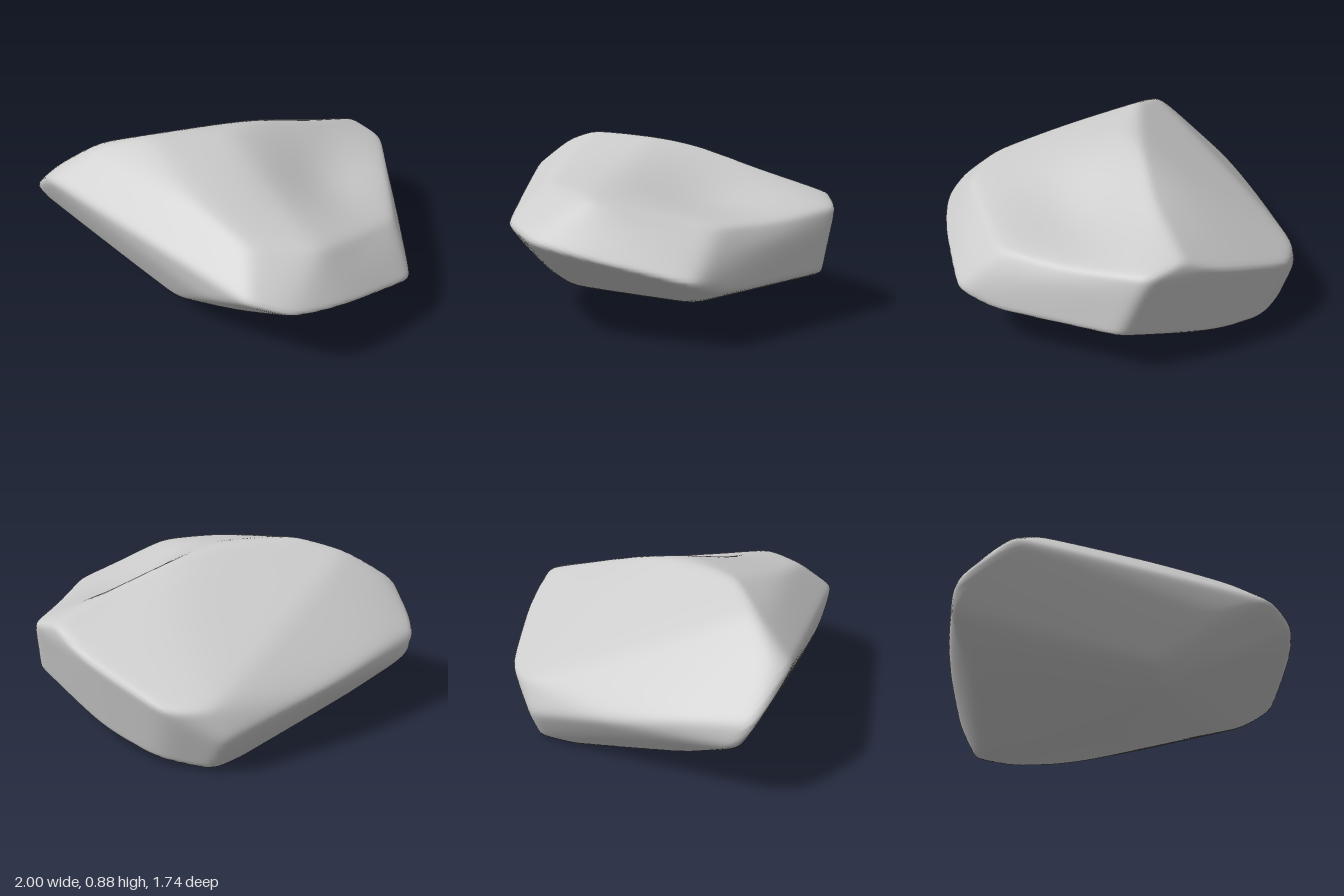
import * as THREE from 'three';
import { mergeVertices } from 'three/addons/utils/BufferGeometryUtils.js';
import { ConvexGeometry } from 'three/addons/geometries/ConvexGeometry.js';

// Corner points of the facets, [x, y, z]
const ridge = [
  [-0.8, 0.69, 0.38], [-0.6, 0.82, 0.32], [-0.36, 0.875, 0.25], [0, 0.855, 0.05],
  [0.1, 0.83, -0.18], [0.27, 0.77, -0.38], [0.46, 0.6, -0.74],
];
const shoulder = [
  [-0.4, 0.78, 0.43], [0, 0.75, 0.55], [0.3, 0.69, 0.66], [0.62, 0.65, 0.54],
  [0.85, 0.54, 0.03], [0.65, 0.55, -0.69],
];
const girdle = [
  [-0.82, 0.65, 0.48], [-0.4, 0.55, 0.61], [0, 0.5, 0.75], [0.2, 0.42, 0.81],
  [0.38, 0.51, 0.88], [0.56, 0.45, 0.82], [0.73, 0.4, 0.65], [1.01, 0.3, 0.2],
  [0.94, 0.24, 0], [0.72, 0.24, -0.58], [0.28, 0.5, -0.83], [-0.2, 0.34, -0.88],
  [-0.38, 0.36, -0.77], [-0.46, 0.2, -0.76], [-0.72, 0.31, -0.38], [-0.9, 0.42, 0],
  [-1.01, 0.46, 0.3], [-1.0, 0.33, 0.22],
];
const underside = [
  [-0.86, 0.25, 0.12], [-0.66, 0.21, 0.26], [-0.1, 0.17, 0.58], [0.3, 0.27, 0.68],
  [0, 0.09, 0.46], [0.47, 0.08, 0], [0.8, 0.17, 0.1], [0.12, 0.02, -0.1],
  [0.22, 0.09, -0.75], [-0.1, 0.03, -0.79], [-0.38, 0.01, -0.73], [-0.42, -0.01, -0.57],
  [-0.78, 0.17, 0],
];
const center = new THREE.Vector3(0, 0.42, 0);

// Facet planes of the hull around the corner points, relative to the centre
function facetPlanes() {
  const points = [...ridge, ...shoulder, ...girdle, ...underside]
    .map((p) => new THREE.Vector3(...p).sub(center));
  const pos = new ConvexGeometry(points).attributes.position;
  const planes = [];
  for (let i = 0; i < pos.count; i += 3) {
    const [a, b, c] = [0, 1, 2].map((k) => new THREE.Vector3().fromBufferAttribute(pos, i + k));
    const n = new THREE.Triangle(a, b, c).getNormal(new THREE.Vector3());
    const h = n.dot(a);
    if (h > 0.01) planes.push(n.divideScalar(h));
  }
  return planes;
}

// Distance to the facets along a direction, with softly worn edges
function wornRadius(dir, planes, sharpness = 65) {
  const reach = planes.map((n) => Math.max(0, n.dot(dir)));
  const top = Math.max(...reach);
  const sum = reach.reduce((s, r) => s + (r / top) ** sharpness, 0);
  return 1 / (top * sum ** (1 / sharpness));
}

// Depth of the shallow hollow in the upper face
function hollow(p) {
  const u = (p.x - 0.48) / 0.28;
  const w = (p.z + 0.1) / 0.4;
  return 0.1 * Math.exp(-u * u - w * w) * THREE.MathUtils.smoothstep(p.y, 0.4, 0.56);
}

function stoneGeometry() {
  const ball = new THREE.IcosahedronGeometry(1, 40);
  ball.deleteAttribute('uv');
  ball.deleteAttribute('normal');
  const geo = mergeVertices(ball, 1e-5);
  const planes = facetPlanes();
  const pos = geo.attributes.position;
  const p = new THREE.Vector3();
  const regrow = 1.016; // makes up for what the wear takes off the corners
  for (let i = 0; i < pos.count; i++) {
    p.fromBufferAttribute(pos, i);
    p.y *= 0.55;
    p.normalize();
    p.multiplyScalar(wornRadius(p, planes) * regrow).add(center);
    p.y -= hollow(p);
    pos.setXYZ(i, p.x, p.y, p.z);
  }
  // Centre it and stand it on the ground
  geo.computeBoundingBox();
  const { min, max } = geo.boundingBox;
  geo.translate(-(min.x + max.x) / 2, -min.y, -(min.z + max.z) / 2);
  geo.computeVertexNormals();
  return geo;
}

export function createModel() {
  const group = new THREE.Group();
  group.name = 'rock';
  const stone = new THREE.Mesh(
    stoneGeometry(),
    new THREE.MeshStandardMaterial({ color: 0xcccccc }),
  );
  stone.name = 'stone';
  group.add(stone);
  return group;
}
